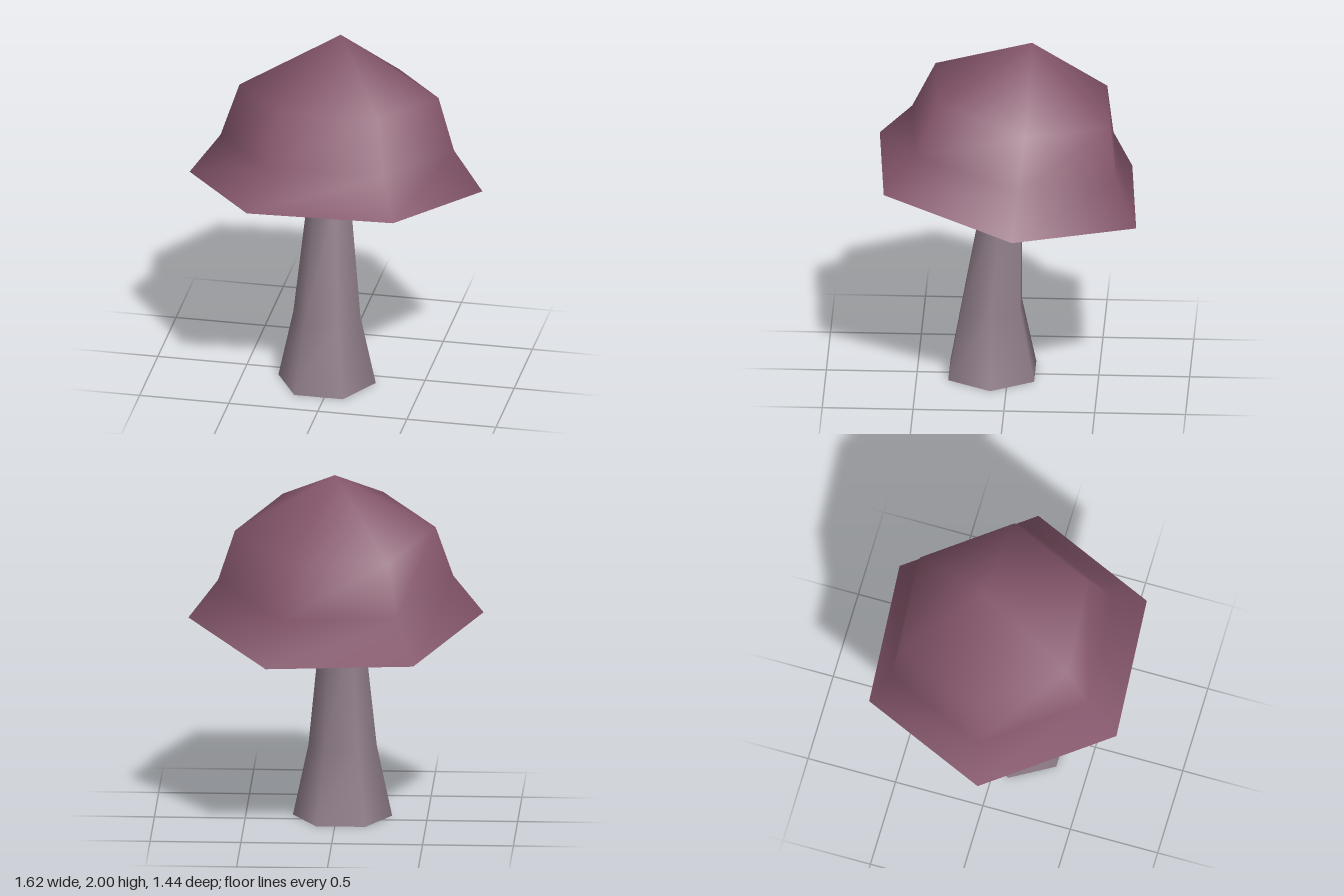
import * as THREE from 'three';
import { mergeVertices } from 'three/addons/utils/BufferGeometryUtils.js';

const SIDES = 6;

// Smooth skin over stacked hexagons; each ring is [radius, height, centreX, centreZ]
function loft(rings, turn = 0) {
  const pos = [], index = [];
  rings.forEach(([r, y, cx = 0, cz = 0]) => {
    for (let i = 0; i < SIDES; i++) {
      const a = turn + (i / SIDES) * Math.PI * 2;
      pos.push(cx + r * Math.cos(a), y, cz + r * Math.sin(a));
    }
  });
  for (let k = 0; k < rings.length - 1; k++) {
    for (let i = 0; i < SIDES; i++) {
      const j = (i + 1) % SIDES;
      const a = k * SIDES + i, b = k * SIDES + j;
      const c = a + SIDES, d = b + SIDES;
      index.push(a, c, b, b, c, d);
    }
  }
  const raw = new THREE.BufferGeometry();
  raw.setAttribute('position', new THREE.Float32BufferAttribute(pos, 3));
  raw.setIndex(index);
  const geo = mergeVertices(raw, 1e-4);
  geo.computeVertexNormals();
  return geo;
}

export function createModel() {
  const capMaterial = new THREE.MeshStandardMaterial({ color: 0x85566b });
  capMaterial.name = 'plum cap';
  const stemMaterial = new THREE.MeshStandardMaterial({ color: 0x917f8b, side: THREE.DoubleSide });
  stemMaterial.name = 'mauve grey stem';

  const model = new THREE.Group();
  model.name = 'mushroom';
  const add = (parent, geo, mat, name) => {
    const mesh = new THREE.Mesh(geo, mat);
    mesh.name = name;
    parent.add(mesh);
  };

  // Leaning, flared stem, open at both ends
  add(model, loft([
    [0.273, 0, -0.032, 0.088],
    [0.188, 0.4, -0.032, 0.092],
    [0.118, 1.1, -0.032, 0.028],
  ]), stemMaterial, 'stem');

  // Cap tilted backwards
  const cap = new THREE.Group();
  cap.name = 'cap';
  cap.position.y = 1.167;
  cap.rotation.x = -0.157;
  model.add(cap);

  const turn = -0.073, rim = 0.812, hub = 0.1, drop = -0.12;
  add(cap, loft([[rim, 0], [0.647, 0.225], [0.552, 0.52], [0, 0.845]], turn), capMaterial, 'capTop');
  add(cap, loft([[0, drop], [hub, drop], [rim, 0]], turn), capMaterial, 'capUnderside');

  // Height of the faceted underside at a point
  const underside = (x, z) => {
    const step = Math.PI / 3;
    const a = Math.atan2(z, x) - turn;
    const local = a - Math.floor(a / step) * step - step / 2;
    const d = Math.hypot(x, z) * Math.cos(local) / Math.cos(step / 2);
    return drop * (1 - Math.max(0, d - hub) / (rim - hub));
  };

  // Teardrop gills lying just under the cap: [distance along gill, half width]
  const outline = [[0, 0.006], [0.35, 0.012], [0.65, 0.029], [0.85, 0.036], [0.95, 0.025], [1, 0.006]];
  const pos = [], index = [];
  const GILLS = 16;
  for (let g = 0; g < GILLS; g++) {
    const a = (g / GILLS) * Math.PI * 2 + 0.1;
    const start = 0.13, end = [0.42, 0.37, 0.41, 0.35][g % 4];
    const wide = [1.25, 0.9, 1.1, 0.8][g % 4];
    outline.forEach(([t, w], k) => {
      const r = start + (end - start) * t;
      for (const s of [-1, 0, 1]) {
        const x = r * Math.cos(a) - s * w * wide * Math.sin(a);
        const z = r * Math.sin(a) + s * w * wide * Math.cos(a);
        pos.push(x, underside(x, z) - 0.007, z);
      }
      if (k === 0) return;
      const n = pos.length / 3 - 6;
      for (const i of [n, n + 1]) index.push(i, i + 3, i + 1, i + 1, i + 3, i + 4);
    });
  }
  const gills = new THREE.BufferGeometry();
  gills.setAttribute('position', new THREE.Float32BufferAttribute(pos, 3));
  gills.setIndex(index);
  gills.computeVertexNormals();
  add(cap, gills, stemMaterial, 'gills');

  return model;
}
